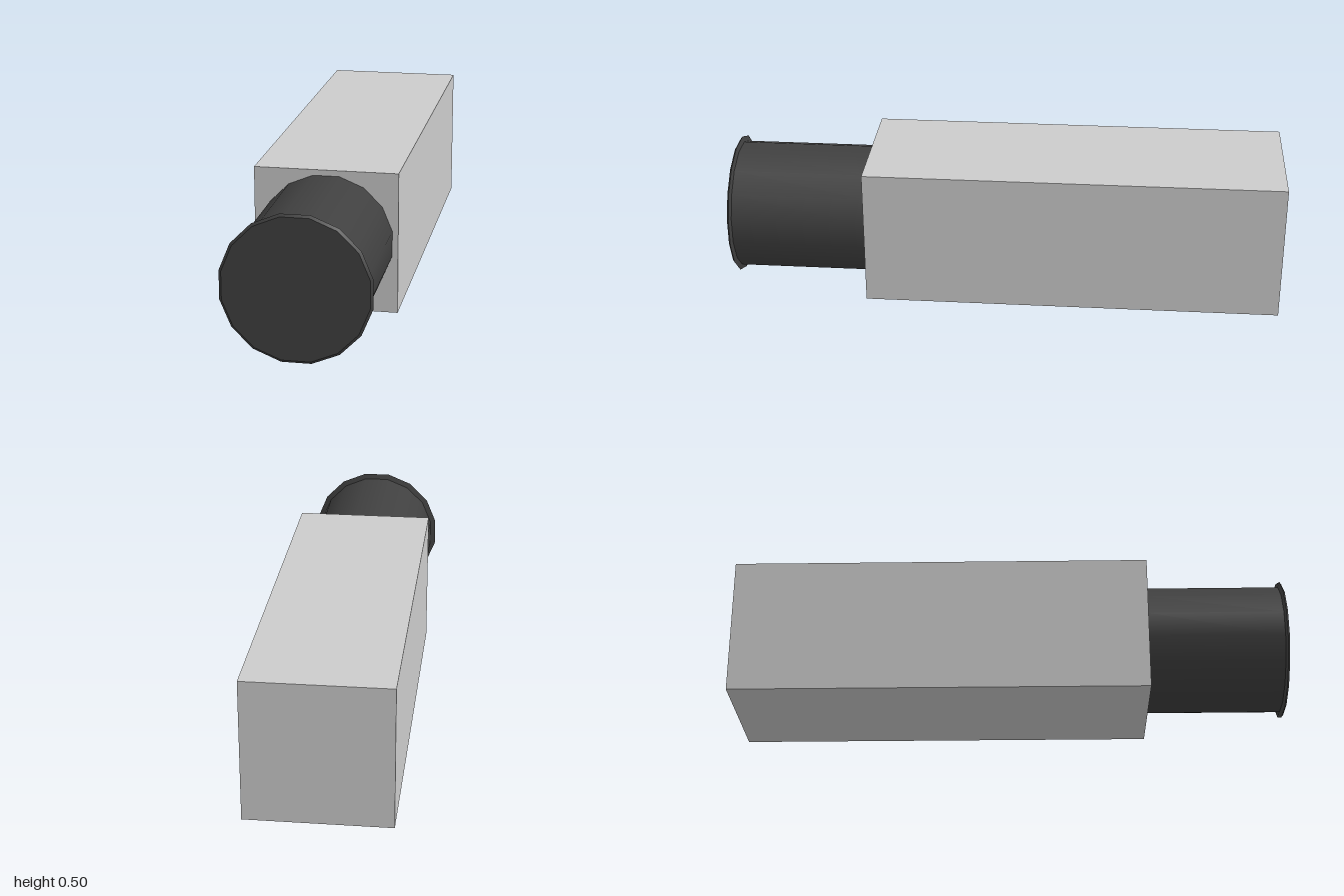
import * as THREE from 'three';

const SIDES = 16;
const CENTRE_Y = 0.25;

export function createModel() {
  const model = new THREE.Group();
  const grey = new THREE.MeshStandardMaterial({ color: 0xcccccc });
  const dark = new THREE.MeshStandardMaterial({ color: 0x404040 });

  // Long square housing
  const body = new THREE.Mesh(new THREE.BoxGeometry(0.5, 0.5, 1.5), grey);
  body.name = 'body';
  body.position.set(0, CENTRE_Y, -0.25);
  model.add(body);

  // Sixteen-sided section along z, with flats facing up and sideways
  function section(name, zBack, zFront, rBack, rFront, open) {
    const geometry = new THREE.CylinderGeometry(
      rFront, rBack, zFront - zBack, SIDES, 1, open, Math.PI / SIDES);
    geometry.rotateX(Math.PI / 2);
    const mesh = new THREE.Mesh(geometry, dark);
    mesh.name = name;
    mesh.position.set(0, CENTRE_Y, (zBack + zFront) / 2);
    model.add(mesh);
  }

  // Lens barrel, then a thin rim that flares out and closes with a flat glass
  section('lensBarrel', 0.5, 0.987, 0.234, 0.234, true);
  section('lensRim', 0.987, 0.993, 0.234, 0.254, true);
  section('lensFront', 0.993, 1, 0.254, 0.245, false);

  return model;
}
